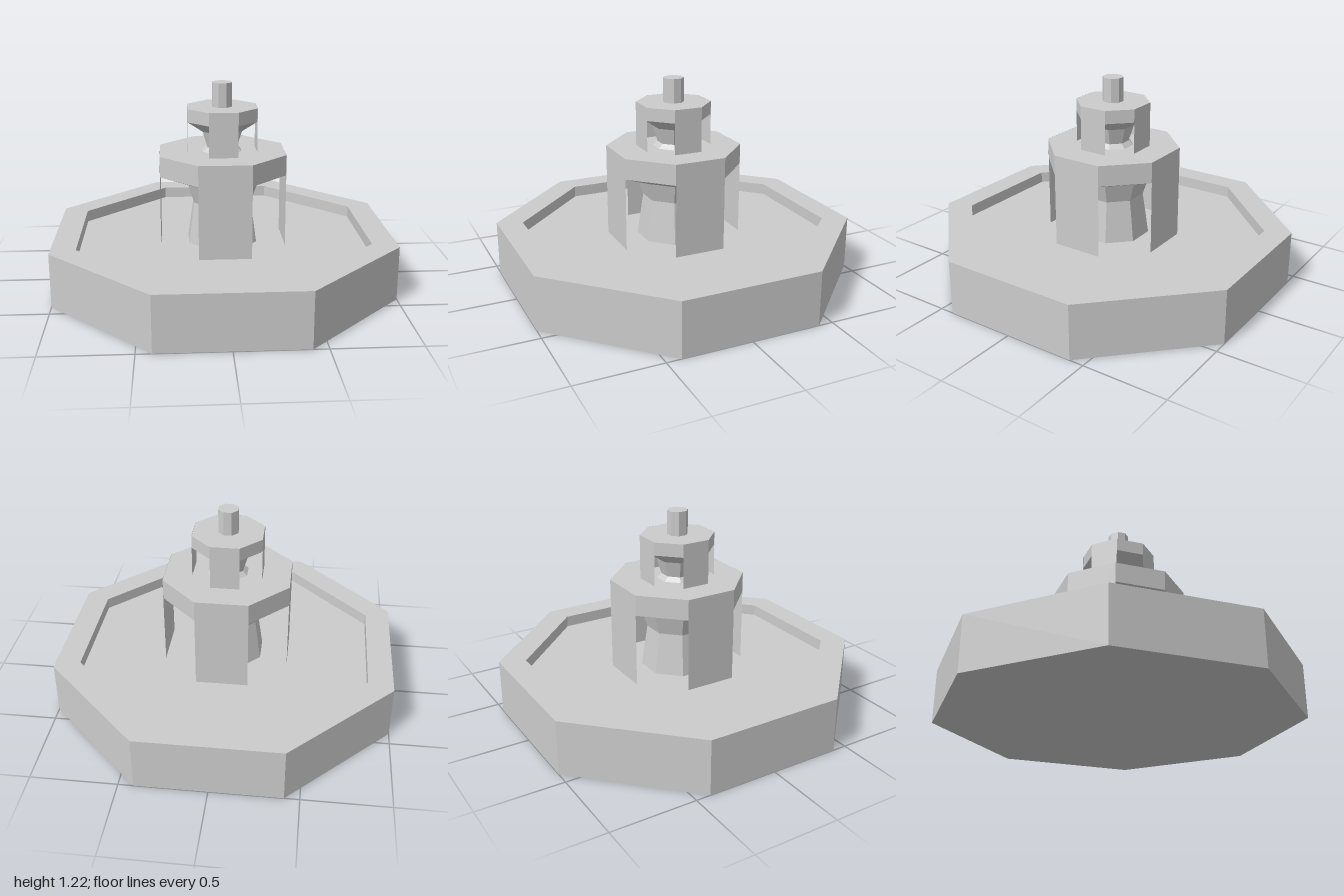
import * as THREE from 'three';

const SIDES = 8;
const HALF = Math.PI / SIDES;

const stone = new THREE.MeshStandardMaterial({ color: 0xcccccc });
stone.name = 'pale grey';
const sheet = new THREE.MeshStandardMaterial({ color: 0xcccccc, side: THREE.DoubleSide });
sheet.name = 'pale grey sheet';

// Faceted octagonal solid from [apothem, y] points listed bottom to top
function octagon(name, profile) {
  const points = profile.map(([a, y]) => new THREE.Vector2(a / Math.cos(HALF), y));
  const geometry = new THREE.LatheGeometry(points, SIDES, HALF).toNonIndexed();
  geometry.computeVertexNormals();
  const mesh = new THREE.Mesh(geometry, stone);
  mesh.name = name;
  return mesh;
}

// Four flat sheets of falling water, one on every second side of a bowl
function waterfalls(name, apothem, bottom, top) {
  const group = new THREE.Group();
  group.name = name;
  const width = 2 * apothem * Math.tan(HALF);
  const geometry = new THREE.PlaneGeometry(width, top - bottom);
  geometry.translate(0, (top + bottom) / 2, apothem + 0.001);
  for (let i = 0; i < 4; i++) {
    const fall = new THREE.Mesh(geometry, sheet);
    fall.name = 'waterSheet';
    fall.rotation.y = i * Math.PI / 2;
    group.add(fall);
  }
  return group;
}

export function createModel() {
  const fountain = new THREE.Group();
  fountain.name = 'fountain';
  const waterLevel = 0.255, lowerTop = 0.813, upperTop = 1.078;

  fountain.add(
    // Wide basin with its rim and the pool floor inside
    octagon('basin', [[0, 0], [1, 0], [1, 0.325], [0.853, 0.325], [0.853, waterLevel], [0, waterLevel]]),
    // Lower pedestal and bowl
    octagon('lowerBowl', [[0.204, waterLevel], [0.17, 0.505], [0.205, 0.62],
      [0.37, 0.69], [0.37, lowerTop], [0, lowerTop]]),
    waterfalls('lowerWaterfalls', 0.37, waterLevel, lowerTop),
    // Upper pedestal and bowl
    octagon('upperBowl', [[0.114, lowerTop], [0.088, 0.838], [0.116, 0.935],
      [0.204, 1.0], [0.204, upperTop], [0, upperTop]]),
    waterfalls('upperWaterfalls', 0.204, lowerTop, upperTop),
    // Spout on top
    octagon('spout', [[0.057, upperTop], [0.057, 1.222], [0, 1.222]]),
  );
  return fountain;
}
